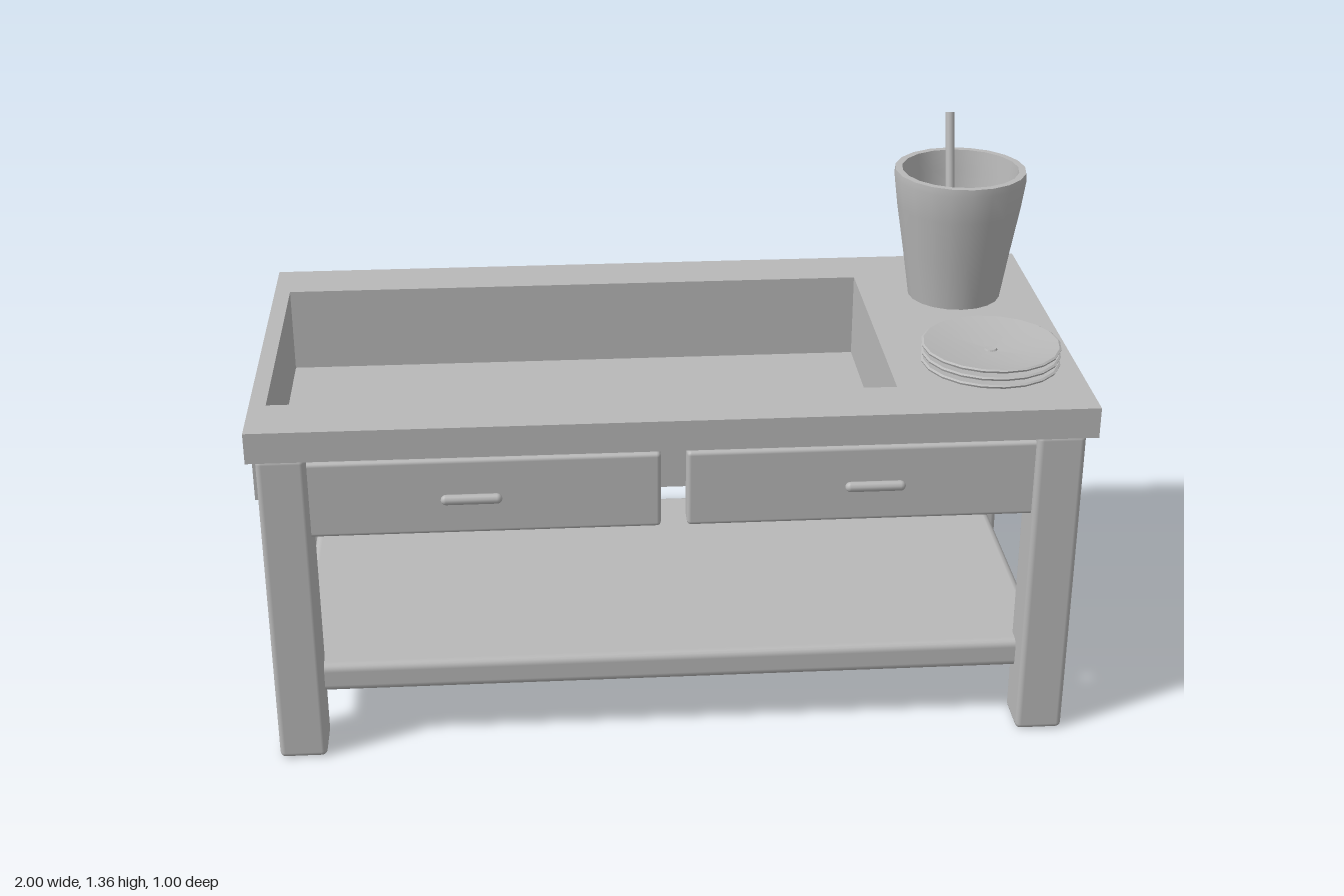
import * as THREE from 'three';
import { RoundedBoxGeometry } from 'three/addons/geometries/RoundedBoxGeometry.js';
import { toCreasedNormals } from 'three/addons/utils/BufferGeometryUtils.js';

const grey = new THREE.MeshStandardMaterial({ color: 0xb8b8b8 });
grey.name = 'plain grey';

export function createModel() {
  const model = new THREE.Group();
  model.name = 'playTable';

  const add = (name, geometry, x = 0, y = 0, z = 0) => {
    const mesh = new THREE.Mesh(geometry, grey);
    mesh.name = name;
    mesh.position.set(x, y, z);
    model.add(mesh);
    return mesh;
  };

  // Box given by its limits on each axis, with softened edges
  const softBox = (name, [x0, x1], [y0, y1], [z0, z1], radius) =>
    add(name, new RoundedBoxGeometry(x1 - x0, y1 - y0, z1 - z0, 2, radius),
      (x0 + x1) / 2, (y0 + y1) / 2, (z0 + z1) / 2);

  const lathe = (points, sides = 20) =>
    new THREE.LatheGeometry(points.map(([r, y]) => new THREE.Vector2(r, y)), sides);

  // Horizontal rectangular slab with the basin opening cut through it
  const rectangle = (Type, x0, x1, z0, z1) => new Type([
    new THREE.Vector2(x0, -z0), new THREE.Vector2(x0, -z1),
    new THREE.Vector2(x1, -z1), new THREE.Vector2(x1, -z0),
  ]);
  const frame = (x0, x1, z0, z1, depth) => {
    const shape = rectangle(THREE.Shape, x0, x1, z0, z1);
    shape.holes.push(rectangle(THREE.Path, -0.96, 0.54, -0.355, 0.347));
    return new THREE.ExtrudeGeometry(shape, { depth, bevelEnabled: false }).rotateX(-Math.PI / 2);
  };

  // Table top and sunken basin
  add('tableTop', frame(-1, 1, -0.5, 0.5, 0.077), 0, 0.823, 0);
  add('basinWalls', frame(-0.999, 0.575, -0.39, 0.385, 0.153), 0, 0.67, 0);
  add('basinFloor', new THREE.BoxGeometry(1.52, 0.01, 0.72), -0.21, 0.676, -0.004);

  // Legs
  for (const x of [-0.922, 0.918]) {
    for (const z of [-0.425, 0.425]) {
      softBox('leg', [x - 0.058, x + 0.058], [0, 0.823], [z - 0.06, z + 0.06], 0.014);
    }
  }

  // Lower shelf
  softBox('shelf', [-0.93, 0.93], [0.145, 0.222], [-0.42, 0.42], 0.02);

  // Drawer fronts with bar handles
  for (const [x0, x1, handleX] of [[-0.885, -0.035, -0.483], [0.027, 0.88, 0.475]]) {
    softBox('drawerFront', [x0, x1], [0.605, 0.8], [0.41, 0.465], 0.01);
    const handle = new THREE.CapsuleGeometry(0.0125, 0.12, 4, 10).rotateZ(Math.PI / 2);
    add('drawerHandle', handle, handleX, 0.704, 0.482);
  }

  // Stack of three dished plates
  const plate = toCreasedNormals(lathe([
    [0, 0], [0.115, 0], [0.168, 0.017], [0.17, 0.022], [0.165, 0.025],
    [0.11, 0.015], [0.016, 0.006], [0.014, 0.01], [0, 0.01],
  ]), 0.7);
  for (let i = 0; i < 3; i++) add('plate', plate, 0.785, 0.9 + i * 0.02, 0.245);

  // Pot with a thick rim
  const pot = toCreasedNormals(lathe([
    [0, 0], [0.12, 0], [0.14, 0.13], [0.16, 0.25], [0.17, 0.325], [0.168, 0.344],
    [0.15, 0.344], [0.143, 0.29], [0.125, 0.13], [0.108, 0.03], [0, 0.03],
  ]), 0.7);
  add('pot', pot, 0.785, 0.901, -0.23);

  // Ladle leaning inside the pot
  const bowl = lathe([
    [0, 0], [0.03, 0.006], [0.048, 0.025], [0.05, 0.04],
    [0.042, 0.04], [0.028, 0.018], [0, 0.012],
  ], 16);
  add('ladleBowl', bowl, 0.778, 0.932, -0.25);
  const bottom = new THREE.Vector3(0.777, 0.945, -0.242);
  const top = new THREE.Vector3(0.777, 1.352, -0.367);
  const axis = top.clone().sub(bottom);
  const stick = add('ladleHandle', new THREE.CylinderGeometry(0.012, 0.012, axis.length(), 10));
  stick.position.copy(bottom).add(top).multiplyScalar(0.5);
  stick.quaternion.setFromUnitVectors(new THREE.Vector3(0, 1, 0), axis.normalize());

  return model;
}
